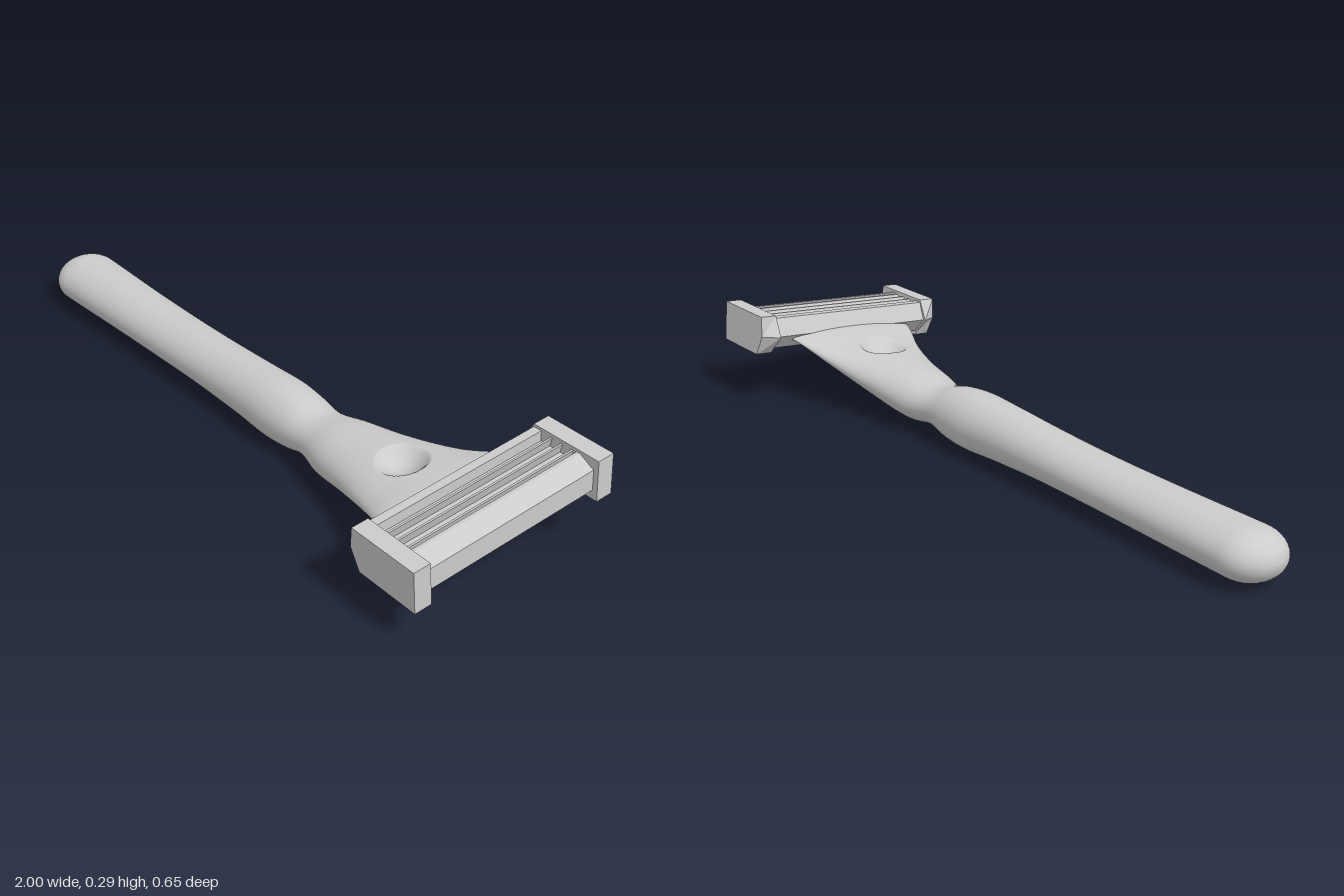
import * as THREE from 'three';

const material = new THREE.MeshStandardMaterial({ color: 0xcccccc, side: THREE.DoubleSide });

// Handle stations: x, top, bottom, half width
const STATIONS = [
  [-1.0, 0.15, 0.01, 0.1], [-0.9, 0.15, 0.01, 0.1], [-0.6, 0.15, 0.014, 0.091],
  [-0.4, 0.152, 0.017, 0.088], [-0.2, 0.16, 0.017, 0.086], [0, 0.172, 0.01, 0.088],
  [0.12, 0.177, 0.004, 0.092], [0.2, 0.17, 0.01, 0.087], [0.28, 0.153, 0.029, 0.081],
  [0.37, 0.167, 0.021, 0.104], [0.5, 0.18, 0.047, 0.128], [0.65, 0.193, 0.1, 0.168],
  [0.75, 0.206, 0.152, 0.205], [0.82, 0.212, 0.172, 0.225],
];

// Smooth interpolation of one station column at x
function sample(x, k) {
  const S = STATIONS, n = S.length;
  let i = 0;
  while (i < n - 2 && x > S[i + 1][0]) i++;
  const slope = (j) => {
    const a = S[Math.max(j - 1, 0)], b = S[Math.min(j + 1, n - 1)];
    return (b[k] - a[k]) / (b[0] - a[0]);
  };
  const d = S[i + 1][0] - S[i][0], t = (x - S[i][0]) / d, t2 = t * t, t3 = t2 * t;
  return (2 * t3 - 3 * t2 + 1) * S[i][k] + (t3 - 2 * t2 + t) * d * slope(i)
    + (3 * t2 - 2 * t3) * S[i + 1][k] + (t3 - t2) * d * slope(i + 1);
}

// Lofted handle with a rounded tip and a round thumb dish in the flared neck
function handleGeometry() {
  const xs = [], sides = 128;
  for (let i = 0; i <= 12; i++) xs.push(-0.9 - 0.1 * Math.cos((i / 12) * Math.PI / 2));
  for (let x = -0.87; x < 0.5; x += 0.02) xs.push(x);
  for (let x = 0.5; x < 0.72; x += 0.005) xs.push(x);
  for (let x = 0.72; x < 0.83; x += 0.02) xs.push(x);
  const pos = [], index = [];
  const dish = { x: 0.605, r: 0.07, depth: 0.04 };
  xs.forEach((x, i) => {
    const tip = x < -0.9 ? Math.sqrt(Math.max(0, 1 - ((x + 0.9) / 0.1) ** 2)) : 1;
    const top = sample(x, 1), bottom = sample(x, 2), w = sample(x, 3) * tip;
    const mid = (top + bottom) / 2, h = (top - bottom) / 2 * tip;
    for (let j = 0; j < sides; j++) {
      const a = (j / sides) * Math.PI * 2;
      const z = w * Math.cos(a);
      let y = mid + h * Math.sin(a);
      const d = Math.hypot(x - dish.x, z) / dish.r;
      if (Math.sin(a) > 0 && d < 1) y -= dish.depth * (1 - d * d);
      pos.push(x, y - 0.2, z);
      if (i < xs.length - 1) {
        const p = i * sides + j, q = i * sides + (j + 1) % sides;
        index.push(p, p + sides, q, q, p + sides, q + sides);
      }
    }
  });
  const g = new THREE.BufferGeometry();
  g.setAttribute('position', new THREE.Float32BufferAttribute(pos, 3));
  g.setIndex(index);
  g.computeVertexNormals();
  return g;
}

// Extrude an x-y outline along z, from z0 to z1
function prism(points, z0, z1) {
  const shape = new THREE.Shape(points.map(([x, y]) => new THREE.Vector2(x, y)));
  return new THREE.ExtrudeGeometry(shape, { depth: z1 - z0, bevelEnabled: false }).translate(0, 0, z0);
}

export function createModel() {
  const model = new THREE.Group();
  model.name = 'razor';
  const add = (name, geometry) => {
    const mesh = new THREE.Mesh(geometry, material);
    mesh.name = name;
    model.add(mesh);
    return mesh;
  };

  add('handle', handleGeometry());

  // Cartridge body with a recess for the blades
  add('cartridgeBody', prism([
    [0.985, -0.033], [0.985, 0.027], [0.94, 0.052], [0.93, 0.052], [0.93, 0.022],
    [0.815, 0.022], [0.815, 0.052], [0.79, 0.052], [0.765, 0], [0.805, -0.045],
    [0.84, -0.055], [0.94, -0.055],
  ], -0.275, 0.275));

  // Slanted blades
  for (let i = 0; i < 3; i++) {
    const x = 0.828 + i * 0.034;
    add('blade' + (i + 1), prism([
      [x, 0.015], [x + 0.014, 0.015], [x + 0.024, 0.05], [x + 0.018, 0.05],
    ], -0.27, 0.27));
  }

  // End caps, with the outer corner on the handle side bevelled
  for (const s of [1, -1]) {
    const g = prism([
      [0.755, 0], [0.81, -0.06], [1, -0.06], [1, 0.06], [0.79, 0.06],
    ], s > 0 ? 0.267 : -0.317, s > 0 ? 0.317 : -0.267);
    const p = g.attributes.position;
    for (let i = 0; i < p.count; i++) {
      if (p.getX(i) < 0.76 && p.getZ(i) * s > 0.3) p.setX(i, 0.782);
    }
    g.computeVertexNormals();
    add(s > 0 ? 'frontEndCap' : 'backEndCap', g);
  }

  // The razor rests slightly rolled and turned
  model.rotation.set(0.102, -0.015, 0);
  model.position.y = 0.2;
  const root = new THREE.Group();
  root.add(model);
  return root;
}
